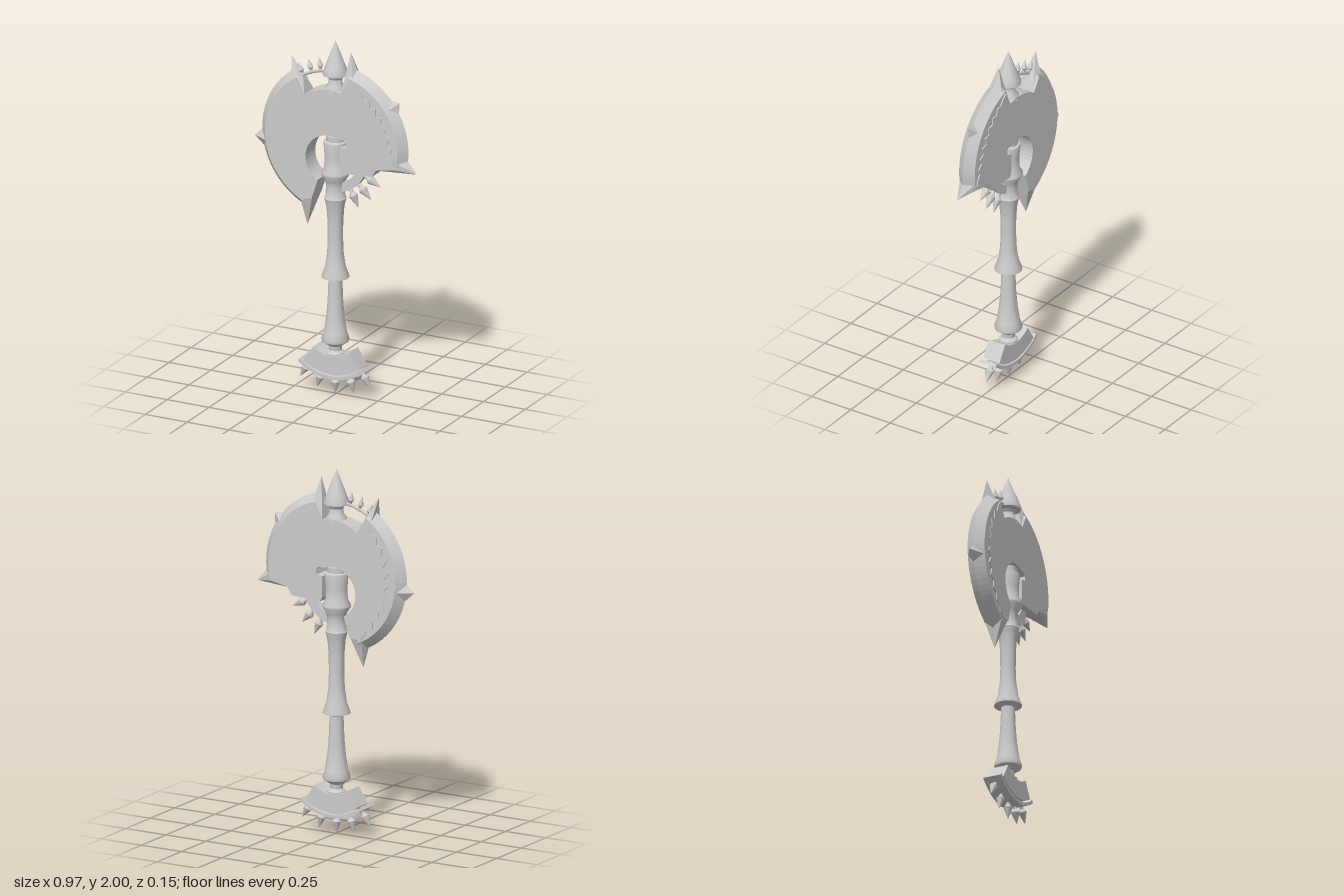
import * as THREE from 'three';
import { toCreasedNormals } from 'three/addons/utils/BufferGeometryUtils.js';
import { ConvexGeometry } from 'three/addons/geometries/ConvexGeometry.js';

const RAD = Math.PI / 180;
const HEAD_Y = 1.435; // centre of the axe head circle
const smooth = new THREE.MeshStandardMaterial({ color: 0xcccccc, side: THREE.DoubleSide });
const flat = new THREE.MeshStandardMaterial({ color: 0xcccccc, side: THREE.DoubleSide, flatShading: true });

const v2 = ([x, y]) => new THREE.Vector2(x, y);
const polar = (cy, r, deg, cx = 0) => [cx + r * Math.cos(deg * RAD), cy + r * Math.sin(deg * RAD)];

function arc(cx, cy, r, from, to, n) {
  return Array.from({ length: n + 1 }, (_, i) => polar(cy, r, from + (to - from) * i / n, cx));
}

// Arc with shallow teeth cut in from the rim, fading out at both ends
function toothedArc(from, to, teeth) {
  const n = teeth * 2;
  return Array.from({ length: n + 1 }, (_, i) => {
    const fade = Math.sqrt(Math.max(0, Math.sin(Math.PI * i / n)));
    return polar(HEAD_Y, 0.385 - fade * (i % 2 ? 0.027 : 0.055), from + (to - from) * i / n);
  });
}

function add(group, name, geometry, material = flat) {
  const mesh = new THREE.Mesh(geometry, material);
  mesh.name = name;
  group.add(mesh);
  return mesh;
}

function slab(points, halfDepth) {
  const g = new THREE.ExtrudeGeometry(new THREE.Shape(points.map(v2)), { depth: 2 * halfDepth, bevelEnabled: false });
  return g.translate(0, 0, -halfDepth);
}

function turned(profile, segments = 32) {
  return toCreasedNormals(new THREE.LatheGeometry(profile.map(v2), segments), 35 * RAD);
}

// Closed ring segment of rectangular section
function band(cy, rIn, rOut, from, to, halfDepth) {
  return slab([...arc(0, cy, rOut, from, to, 20), ...arc(0, cy, rIn, to, from, 20)], halfDepth);
}

// Small turned spike whose foot sits at a polar position, pointing outwards
function stud(group, name, cy, r, deg, length, radius, lean = 0) {
  const g = turned([[0, -0.01], [radius * 0.4, -0.01], [radius * 0.45, length * 0.2],
    [radius, length * 0.36], [radius * 0.8, length * 0.5], [0, length]], 12);
  const mesh = add(group, name, g, smooth);
  const [x, y] = polar(cy, r, deg);
  mesh.position.set(x, y, 0);
  mesh.rotation.z = (deg - 90 + lean) * RAD;
}

// Faceted thorn: points in the middle plane plus points mirrored to both faces
function thorn(group, middle, sides, z = 0.05) {
  const pts = middle.map(([x, y]) => new THREE.Vector3(x, y, 0));
  for (const [x, y] of sides) pts.push(new THREE.Vector3(x, y, z), new THREE.Vector3(x, y, -z));
  add(group, 'rimThorn', new ConvexGeometry(pts));
}

// Head outline, given its right and left cutting arcs
function headOutline(rightArc, leftArc) {
  return [
    [0.06, 1.725], ...rightArc,
    [0.27, 1.325], [0.245, 1.285], [0.07, 1.275], [0.055, 1.3], [0.055, 1.415],
    [0.09, 1.42], [0.095, 1.45], [0.075, 1.465],
    ...arc(-0.01, 1.335, 0.14, 65, 241, 20),
    [-0.115, 1.1], ...leftArc,
    [-0.16, 1.683], [-0.12, 1.707], [-0.06, 1.728], [0, 1.735],
  ];
}

function createHead() {
  const head = new THREE.Group();
  head.name = 'axeHead';

  add(head, 'bladeBody', slab(headOutline(
    arc(0, HEAD_Y, 0.39, 74, -10, 24), arc(0, HEAD_Y, 0.39, 243, 123, 32)), 0.05));
  add(head, 'toothedPlate', slab(headOutline(toothedArc(74, -10, 9), toothedArc(243, 123, 11)), 0.056));

  // Sharpened rim with a ridge in the middle plane
  for (const [from, to] of [[-9, 75], [123, 246]]) {
    const rim = new THREE.LatheGeometry([[0.385, -0.05], [0.395, -0.05], [0.437, 0], [0.395, 0.05], [0.385, 0.05]].map(v2),
      28, (from + 90) * RAD, (to - from) * RAD);
    rim.rotateX(Math.PI / 2).translate(0, HEAD_Y, 0);
    add(head, 'cuttingEdge', rim);
  }

  // Thorns at the ends of the cutting edges and along them
  thorn(head, [[0.093, 1.947], [0.135, 1.835], [0.07, 1.75]], [[0.06, 1.725], [0.13, 1.795]]);
  thorn(head, [[-0.262, 1.873], [-0.195, 1.783], [-0.245, 1.79]], [[-0.16, 1.683], [-0.24, 1.735]]);
  thorn(head, [[-0.167, 0.931], [-0.19, 1.04]], [[-0.077, 1.212], [-0.115, 1.1], [-0.185, 1.09]]);
  thorn(head, [[0.489, 1.323], [0.43, 1.395]], [[0.27, 1.325], [0.385, 1.385], [0.38, 1.345]]);
  thorn(head, [[-0.482, 1.381], [-0.43, 1.43], [-0.418, 1.325]], [[-0.395, 1.38]], 0.045);
  thorn(head, [[0.384, 1.709], [0.31, 1.72], [0.38, 1.64]], [[0.315, 1.655]], 0.045);

  // Thin arched rod with three studs bridging the upper notch
  const rod = new THREE.TorusGeometry(0.388, 0.009, 8, 16, 32 * RAD);
  rod.rotateZ(93 * RAD).translate(0, HEAD_Y, 0);
  add(head, 'upperRod', rod, smooth);
  for (const deg of [103, 111.5, 120]) stud(head, 'upperStud', HEAD_Y, 0.388, deg, 0.075, 0.016, -6);

  // Studded guard ring below the right wing
  add(head, 'guardRing', band(1.344, 0.145, 0.195, -82, -15, 0.02));
  for (const deg of [-62, -44, -25]) stud(head, 'guardStud', 1.344, 0.19, deg, 0.115, 0.024, -2);
  return head;
}

function createPommel() {
  const pommel = new THREE.Group();
  pommel.name = 'pommel';
  const cy = 0.4;
  add(pommel, 'pommelFan', slab([...arc(0, cy, 0.277, 234, 306, 18), ...arc(0, cy, 0.175, 308, 232, 18)], 0.052));
  // Curved strip with pointed ends
  add(pommel, 'pommelStrip', slab([[-0.2, 0.168], ...arc(0, cy, 0.305, 232, 308, 18), [0.2, 0.168],
    ...arc(0, cy, 0.288, 311, 229, 18)], 0.052));
  add(pommel, 'pommelCore', slab(arc(0, cy, 0.292, 262, 278, 4).concat([[0.03, 0.14], [-0.03, 0.14]]), 0.03));
  for (const deg of [238, 254, 270, 286, 302]) stud(pommel, 'pommelStud', cy, 0.295, deg, 0.105, 0.024);
  return pommel;
}

export function createModel() {
  const model = new THREE.Group();
  model.name = 'battleAxe';

  // Turned shaft with flared collars
  add(model, 'shaft', turned([
    [0, 0.2], [0.05, 0.2], [0.05, 0.235], [0.034, 0.25], [0.036, 0.275], [0.072, 0.3], [0.075, 0.312], [0.062, 0.35],
    [0.05, 0.43], [0.042, 0.52], [0.037, 0.65], [0.074, 0.662], [0.073, 0.672], [0.055, 0.72],
    [0.044, 0.8], [0.041, 0.88], [0.042, 0.98], [0.048, 1.06], [0.06, 1.11], [0.053, 1.12],
    [0.05, 1.18], [0.055, 1.21], [0.077, 1.246], [0.077, 1.255], [0.06, 1.285], [0.058, 1.35],
    [0.064, 1.42], [0.062, 1.43], [0.05, 1.435], [0.05, 1.465], [0, 1.465],
  ]), smooth);

  // Finial spike on top of the head
  add(model, 'finial', turned([
    [0, 1.7], [0.058, 1.715], [0.055, 1.735], [0.04, 1.755], [0.036, 1.785], [0.045, 1.8], [0.068, 1.808],
    [0.068, 1.82], [0.055, 1.855], [0, 2],
  ]), smooth);

  model.add(createHead(), createPommel());
  for (const child of model.children) child.position.x = -0.005;
  return model;
}
